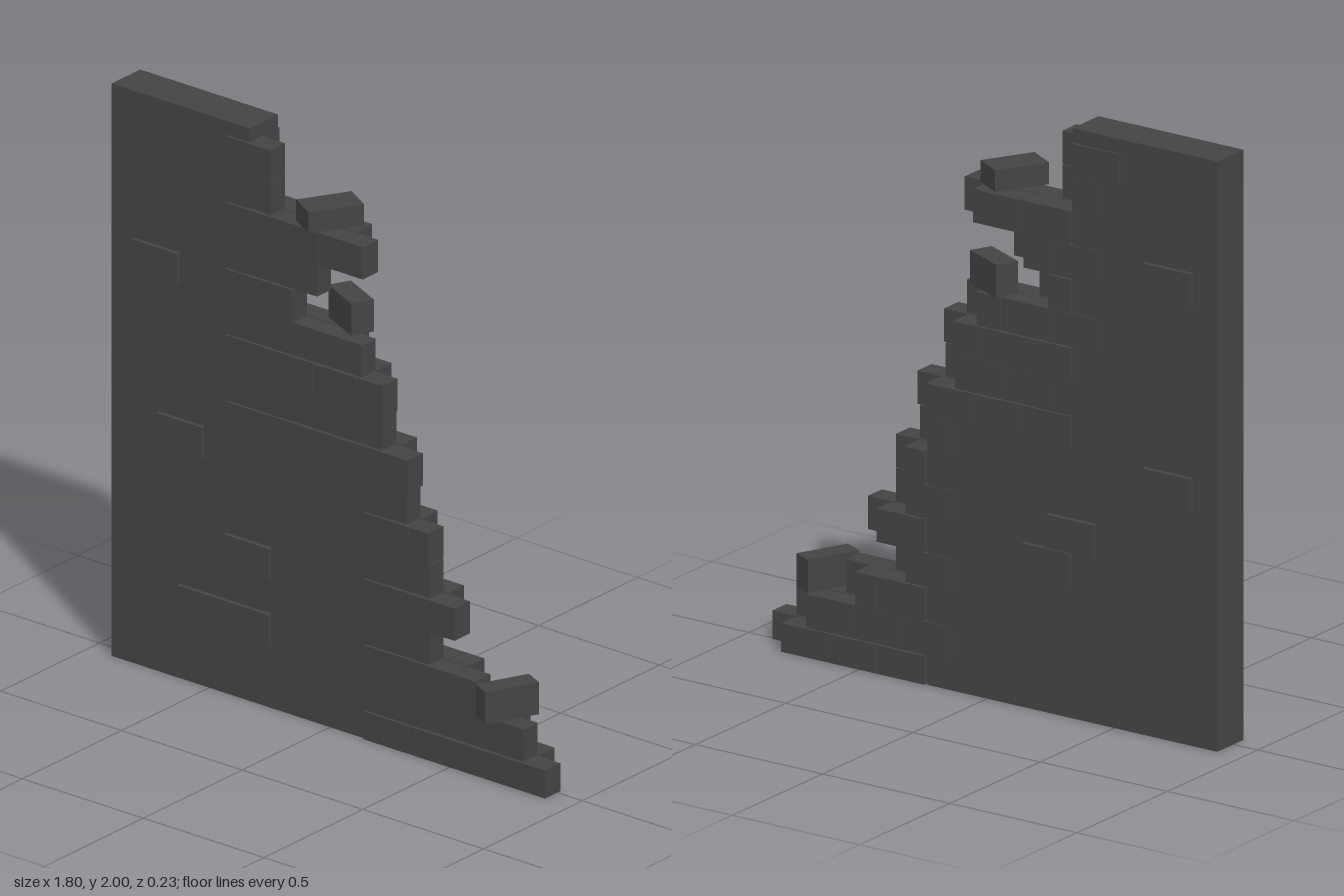
import * as THREE from 'three';

const FIRST = 0.1, COURSE = 0.1158;   // height of the lowest course, then of every other
const MID = -0.015;                   // joint between the front and back leaves

// Vertical joints of the front leaf, course by course from the ground
const COURSES = [
  [0.145, 0.335, 0.525, 0.715, 0.9],
  [0.23, 0.425, 0.615, 0.805],
  [0.145, 0.335, 0.525, 0.61],
  [0.23, 0.415],
  [0.145, 0.335, 0.525],
  [0.23, 0.415],
  [0.145, 0.335, 0.415],
  [0.23, 0.32],
  [-0.43, -0.24, -0.05, 0.145, 0.33],
  [-0.16, 0.03, 0.22],
  [-0.43, -0.24, -0.065, 0.12, 0.225],
  [-0.34, -0.15, 0.04, 0.135],
  [-0.43, -0.24, -0.15],
  [-0.34, -0.15, -0.05],
  [-0.425, -0.235, -0.04, 0.145],
  [-0.34, -0.24],
  [-0.43, -0.24],
];

export function createModel() {
  const model = new THREE.Group();
  const material = new THREE.MeshStandardMaterial({ color: 0x444444, flatShading: true });

  const add = (parent, name, geometry) => {
    const mesh = new THREE.Mesh(geometry, material);
    mesh.name = name;
    parent.add(mesh);
    return mesh;
  };
  const bottomOf = (row) => (row === 0 ? 0 : FIRST + (row - 1) * COURSE);
  const topOf = (row) => FIRST + row * COURSE;

  // A brick filling one course between two joints and two depths
  const brick = (parent, name, row, x0, x1, z0, z1) => {
    const y0 = bottomOf(row), y1 = topOf(row), gap = 0.003;
    add(parent, name, new THREE.BoxGeometry(x1 - x0 - gap, y1 - y0 - gap, z1 - z0))
      .position.set((x0 + x1) / 2, (y0 + y1) / 2, (z0 + z1) / 2);
  };

  // Solid wall with a stepped broken edge
  const outline = new THREE.Shape([
    [-0.905, 0], [0.235, 0], [0.235, 0.912], [-0.16, 0.912],
    [-0.16, 1.142], [-0.335, 1.142], [-0.335, 2], [-0.905, 2],
  ].map(([x, y]) => new THREE.Vector2(x, y)));
  const wall = new THREE.ExtrudeGeometry(outline, { depth: 0.145, bevelEnabled: false });
  add(model, 'wall', wall.translate(0, 0, -0.09));

  // Toothed bricks: the back leaf is bonded half a brick out of step
  const front = new THREE.Group(), back = new THREE.Group();
  front.name = 'frontBricks';
  back.name = 'backBricks';
  model.add(front, back);
  COURSES.forEach((joints, row) => {
    const even = row % 2 === 0;
    const frontZ = even ? 0.065 : 0.058;
    const backZ = even ? -0.099 : -0.094;
    for (let i = 1; i < joints.length; i++) {
      brick(front, 'frontBrick', row, joints[i - 1], joints[i], MID + 0.002, frontZ);
    }
    const limit = row < 8 ? 0.1 : row === 16 ? -0.6 : -0.45;
    const shifted = joints.map((x) => x - 0.095).filter((x) => x > limit);
    for (let i = 1; i < shifted.length; i++) {
      brick(back, 'backBrick', row, shifted[i - 1], shifted[i], backZ, MID - 0.002);
    }
  });

  // Single bricks standing proud of the wall faces: [course, left joint]
  const proud = new THREE.Group();
  proud.name = 'proudBricks';
  model.add(proud);
  for (const [row, x] of [[12, -0.81], [7, -0.71], [4, -0.43], [2, -0.62], [2, -0.43]]) {
    brick(proud, 'proudFrontBrick', row, x, x + 0.19, MID, 0.072);
  }
  for (const [row, x] of [[13, -0.81], [7, -0.81], [5, -0.43], [4, -0.335]]) {
    brick(proud, 'proudBackBrick', row, x, x + 0.19, -0.108, MID);
  }

  // Loose bricks turned on the broken edge: centre, size, turn in degrees
  for (const [centre, size, turn] of [
    [[0.697, 0.275, 0.01], [0.19, 0.112, 0.075], 65],
    [[0.005, 1.432, -0.045], [0.17, 0.112, 0.08], -25],
    [[-0.045, 1.768, 0], [0.19, 0.074, 0.112], 60],
  ]) {
    const loose = add(model, 'looseBrick', new THREE.BoxGeometry(...size));
    loose.position.set(...centre);
    loose.rotation.y = THREE.MathUtils.degToRad(turn);
  }

  return model;
}
